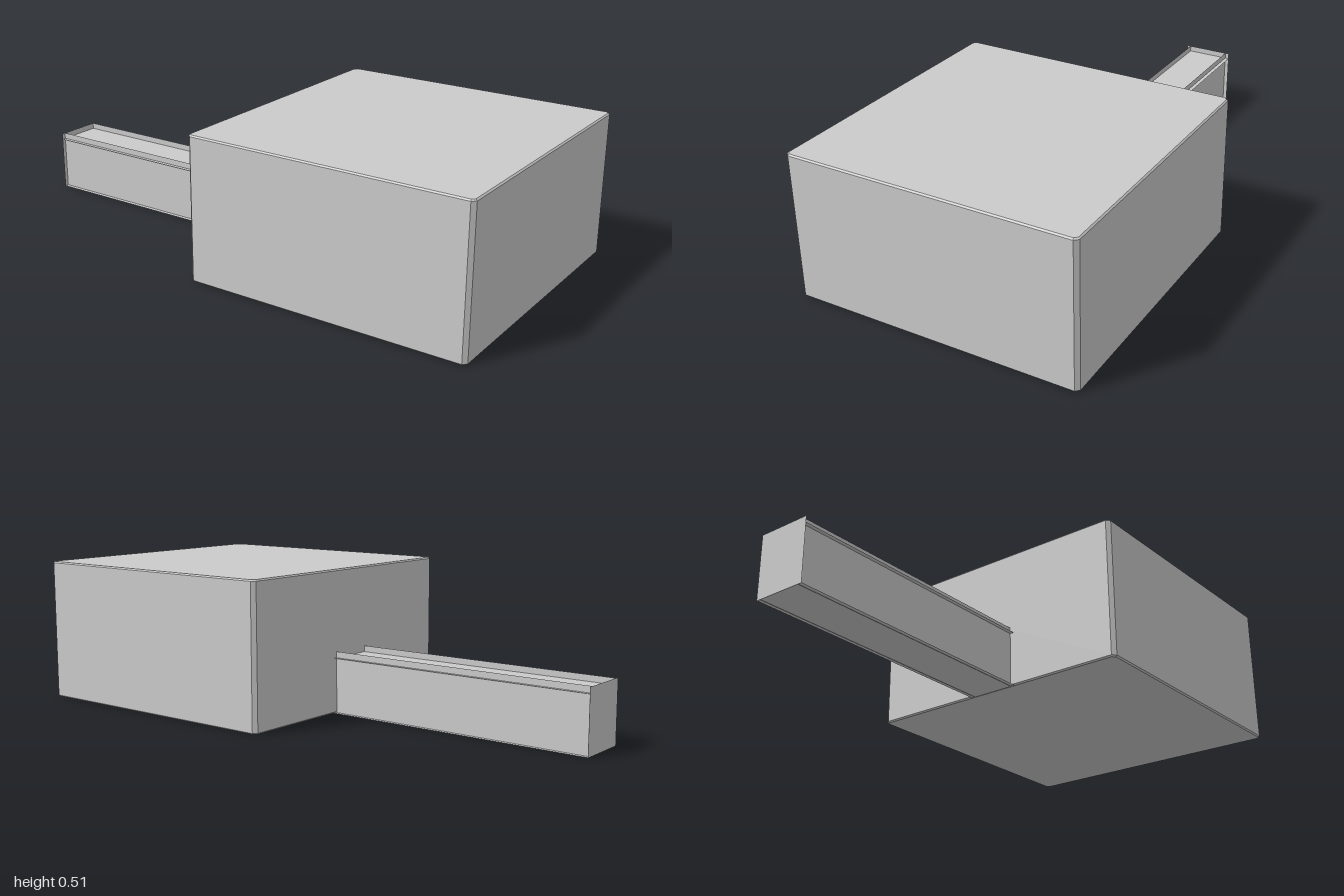
import * as THREE from 'three';

const solid = new THREE.MeshStandardMaterial({ color: 0xcccccc, flatShading: true });
const sheet = new THREE.MeshStandardMaterial({ color: 0xcccccc, flatShading: true, side: THREE.DoubleSide });

function addPart(group, name, geometry, material, x, y, z) {
  const mesh = new THREE.Mesh(geometry, material);
  mesh.name = name;
  mesh.position.set(x, y, z);
  group.add(mesh);
}

// Box with chamfered upright edges (cut) and chamfered top and bottom rims (rim)
function chamferedBox(width, height, depth, cut, rim) {
  const a = width / 2 - rim, b = depth / 2 - rim;
  const outline = [
    [a - cut, -b], [a, cut - b], [a, b - cut], [a - cut, b],
    [cut - a, b], [-a, b - cut], [-a, cut - b], [cut - a, -b],
  ].map(([x, y]) => new THREE.Vector2(x, y));
  return new THREE.ExtrudeGeometry(new THREE.Shape(outline), {
    depth: height - 2 * rim, bevelThickness: rim, bevelSize: rim, bevelSegments: 1,
  }).rotateX(-Math.PI / 2).translate(0, rim, 0);
}

export function createModel() {
  const group = new THREE.Group();
  group.name = 'blockWithHandle';

  // Head: a large block with narrow chamfered edges
  addPart(group, 'headBlock', chamferedBox(1.013, 0.51, 1.013, 0.01, 0.005), solid, 0.4915, 0, 0);

  // Handle: thin sheets, the sides and top set in from the edges of the base and end
  const length = 1, height = 0.22, width = 0.19;
  const flat = new THREE.PlaneGeometry(length, width).rotateX(-Math.PI / 2);
  addPart(group, 'handleBase', flat, sheet, -0.5, 0.001, 0);
  addPart(group, 'handleTop', flat, sheet, -0.5, height - 0.022, 0);
  addPart(group, 'handleEnd', new THREE.PlaneGeometry(width, height).rotateY(-Math.PI / 2), sheet, -1, height / 2, 0);
  for (const side of [1, -1]) {
    const wall = new THREE.PlaneGeometry(length, height);
    if (side < 0) wall.rotateY(Math.PI);
    addPart(group, side > 0 ? 'handleFrontWall' : 'handleBackWall', wall, sheet, -0.5, height / 2, side * (width / 2 - 0.015));
  }

  return group;
}
